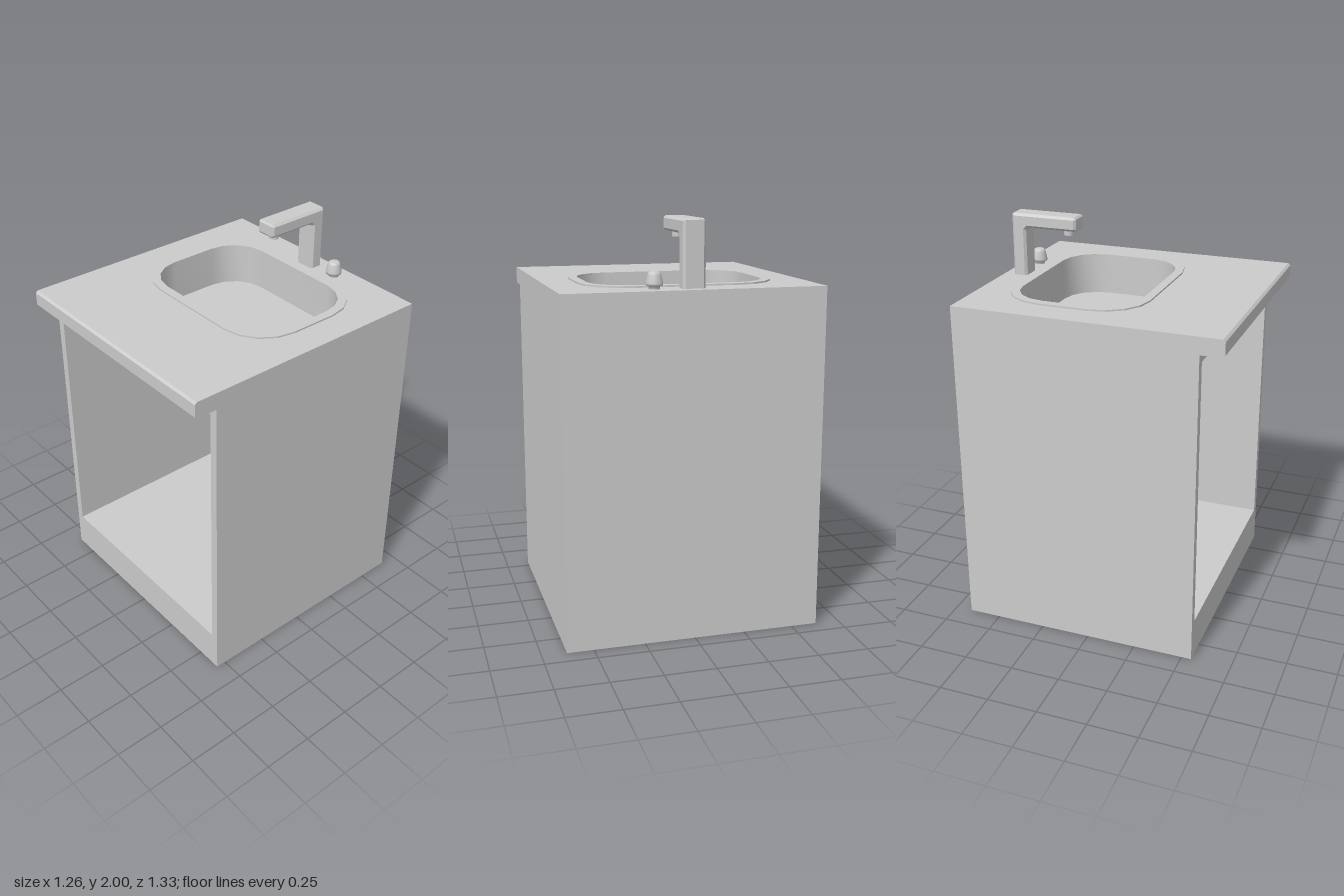
import * as THREE from 'three';

const material = new THREE.MeshStandardMaterial({ color: 0xcccccc });
const thinMaterial = new THREE.MeshStandardMaterial({ color: 0xcccccc, side: THREE.DoubleSide });

const W = 0.63, BACK = -0.665, FRONT = 0.55, LIP = 0.665;   // overall extents
const CABINET_TOP = 1.6, COUNTER_TOP = 1.685, BASIN_Y = 1.48;
const BASIN_Z = -0.1625;

function addMesh(parent, name, geometry, mat = material) {
  const mesh = new THREE.Mesh(geometry, mat);
  mesh.name = name;
  parent.add(mesh);
  return mesh;
}

const toPoints = (list) => list.map(([x, y]) => new THREE.Vector2(x, y));

// Rounded bowl outline in plan (shape y = -z), grown by an offset from the bowl wall
function bowlOutline(offset) {
  const hx = 0.43 + offset, hy = 0.3075 + offset, r = 0.185 + offset, segments = 4;
  const points = [];
  [[1, 1], [-1, 1], [-1, -1], [1, -1]].forEach(([sx, sy], corner) => {
    for (let i = 0; i <= segments; i++) {
      const a = (corner + i / segments) * Math.PI / 2;
      points.push(new THREE.Vector2(
        sx * (hx - r) + r * Math.cos(a),
        sy * (hy - r) + r * Math.sin(a) - BASIN_Z));
    }
  });
  return points;
}

// Horizontal plate with a bowl-shaped hole
function plate(outline, holeOffset, y, height, steps = 1) {
  const shape = new THREE.Shape(outline);
  shape.holes.push(new THREE.Path(bowlOutline(holeOffset)));
  return new THREE.ExtrudeGeometry(shape, { depth: height, steps, bevelEnabled: false })
    .rotateX(-Math.PI / 2).translate(0, y, 0);
}

const rectangle = (hx, zBack, zFront) =>
  toPoints([[-hx, -zFront], [hx, -zFront], [hx, -zBack], [-hx, -zBack]]);

function createCabinet() {
  const group = new THREE.Group();
  group.name = 'cabinet';
  const innerBack = -0.57, innerX = 0.59, floorY = 0.2, ceilingY = 1.555;

  // Side walls and raised floor in one U-shaped piece
  const walls = new THREE.Shape(toPoints([
    [-W, 0], [W, 0], [W, CABINET_TOP], [innerX, CABINET_TOP],
    [innerX, floorY], [-innerX, floorY], [-innerX, CABINET_TOP], [-W, CABINET_TOP]]));
  addMesh(group, 'wallsAndFloor', new THREE.ExtrudeGeometry(walls,
    { depth: FRONT - innerBack, bevelEnabled: false }).translate(0, 0, innerBack));

  const thickness = innerBack - BACK;
  addMesh(group, 'backPanel', new THREE.BoxGeometry(2 * W, CABINET_TOP, thickness))
    .position.set(0, CABINET_TOP / 2, BACK + thickness / 2);

  addMesh(group, 'topRail', plate(rectangle(innerX, innerBack, FRONT), 0.005,
    ceilingY, CABINET_TOP - ceilingY));
  return group;
}

// Countertop with its overhanging front edge chamfered above and below
function createCountertop() {
  const height = COUNTER_TOP - CABINET_TOP;
  const geometry = plate(rectangle(W, BACK, LIP), 0.02, CABINET_TOP, height, 8);
  const p = geometry.attributes.position;
  for (let i = 0; i < p.count; i++) {
    const edge = Math.min(p.getY(i) - CABINET_TOP, COUNTER_TOP - p.getY(i));
    if (p.getZ(i) > LIP - 0.001 && edge < 0.001) p.setZ(i, LIP - 0.011);
  }
  geometry.computeVertexNormals();
  const mesh = new THREE.Mesh(geometry, material);
  mesh.name = 'countertop';
  return mesh;
}

function createBasin() {
  const group = new THREE.Group();
  group.name = 'basin';
  const outline = bowlOutline(0), n = outline.length;

  // Smooth thin wall between the rim and the floor
  const positions = [], indices = [];
  for (const { x, y } of outline) positions.push(x, COUNTER_TOP + 0.004, -y, x, BASIN_Y, -y);
  for (let i = 0; i < n; i++) {
    const a = 2 * i, b = 2 * ((i + 1) % n);
    indices.push(a, a + 1, b, b, a + 1, b + 1);
  }
  const wall = new THREE.BufferGeometry();
  wall.setAttribute('position', new THREE.Float32BufferAttribute(positions, 3));
  wall.setIndex(indices);
  wall.computeVertexNormals();
  addMesh(group, 'basinWall', wall, thinMaterial);

  addMesh(group, 'basinFloor', new THREE.ShapeGeometry(new THREE.Shape(outline))
    .rotateX(-Math.PI / 2).translate(0, BASIN_Y, 0), thinMaterial);
  addMesh(group, 'basinRim', plate(bowlOutline(0.045), 0, COUNTER_TOP, 0.008));
  return group;
}

function createFaucet() {
  const group = new THREE.Group();
  group.name = 'faucet';
  const bevel = 0.012, halfWidth = 0.055;

  // Square column and spout, drawn from the side as (z, y)
  const profile = new THREE.Shape(toPoints([
    [-0.615, COUNTER_TOP - 0.014], [-0.542, COUNTER_TOP - 0.014], [-0.542, 1.918],
    [-0.553, 1.93], [-0.279, 1.93], [-0.27, 1.94], [-0.27, 1.991], [-0.279, 2],
    [-0.608, 2], [-0.615, 1.993]]));
  // Inner corner of the bend is eased towards the spout
  profile.curves[2].v2.set(-0.53, 1.93);
  profile.curves[3].v1.set(-0.53, 1.93);
  addMesh(group, 'spout', new THREE.ExtrudeGeometry(profile, {
    depth: 2 * (halfWidth - bevel), bevelSize: bevel, bevelThickness: bevel,
    bevelOffset: -bevel, bevelSegments: 1 })
    .translate(0, 0, -(halfWidth - bevel)).rotateY(-Math.PI / 2));

  addMesh(group, 'aerator', new THREE.CylinderGeometry(0.024, 0.024, 0.036, 16))
    .position.set(0, 1.92, -0.328);
  return group;
}

function createKnob() {
  const profile = toPoints([
    [0.026, COUNTER_TOP - 0.002], [0.026, 1.698], [0.039, 1.701], [0.04, 1.712],
    [0.032, 1.75], [0.028, 1.759], [0.02, 1.765], [0, 1.765]]);
  const geometry = new THREE.LatheGeometry(profile, 16);
  const mesh = new THREE.Mesh(geometry, material);
  mesh.name = 'knob';
  mesh.position.set(0.18, 0, -0.578);
  return mesh;
}

export function createModel() {
  const model = new THREE.Group();
  model.name = 'sinkCabinet';
  model.add(createCabinet(), createCountertop(), createBasin(), createFaucet(), createKnob());
  return model;
}
